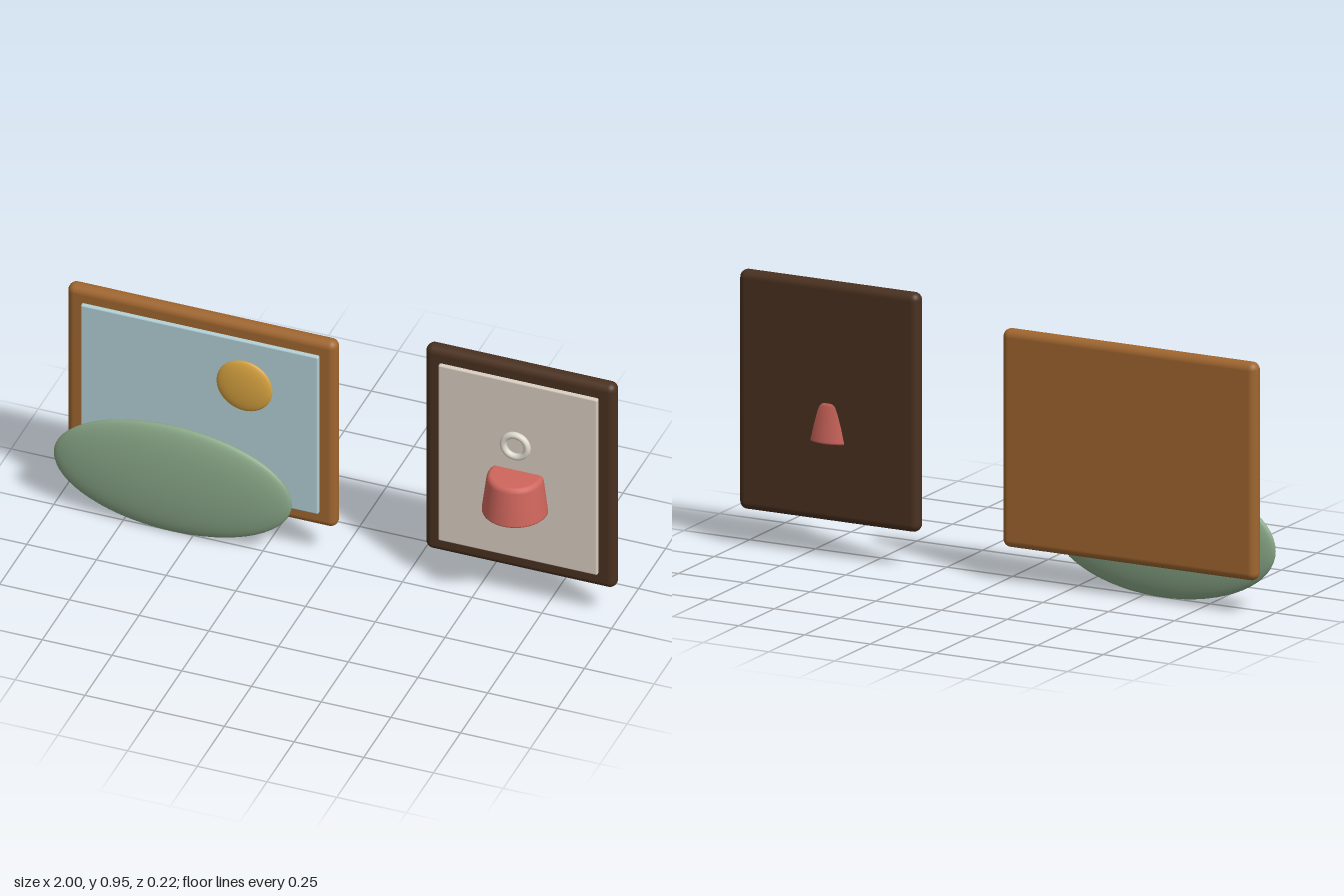
import * as THREE from 'three';
import { RoundedBoxGeometry } from 'three/addons/geometries/RoundedBoxGeometry.js';

const mat = (name, color) => {
  const m = new THREE.MeshStandardMaterial({ color });
  m.name = name;
  return m;
};

export function createModel() {
  const colours = {
    wood: mat('warmWood', 0xa0662f),
    dark: mat('darkWood', 0x4a3120),
    sky: mat('skyBlue', 0xb3d0d6),
    cream: mat('cream', 0xd9cec1),
    green: mat('sageGreen', 0x8aa888),
    gold: mat('gold', 0xd9a441),
    coral: mat('coral', 0xcf665c),
    pale: mat('paleStone', 0xe0dbd0),
  };
  const model = new THREE.Group();
  model.name = 'wallPictures';

  const add = (parent, name, geometry, material, x, y, z) => {
    const mesh = new THREE.Mesh(geometry, material);
    mesh.name = name;
    mesh.position.set(x, y, z);
    parent.add(mesh);
    return mesh;
  };

  // Rounded slab given by its extents
  const slab = (parent, name, material, [x0, x1], [y0, y1], [z0, z1], radius) =>
    add(parent, name, new RoundedBoxGeometry(x1 - x0, y1 - y0, z1 - z0, 5, radius),
      material, (x0 + x1) / 2, (y0 + y1) / 2, (z0 + z1) / 2);

  // Flattened ball
  const ellipsoid = (parent, name, material, x, y, rx, ry, rz) =>
    add(parent, name, new THREE.SphereGeometry(1, 48, 32), material, x, y, 0).scale.set(rx, ry, rz);

  // Landscape picture: frame, sky, hill and sun
  const landscape = new THREE.Group();
  landscape.name = 'landscapePicture';
  slab(landscape, 'landscapeFrame', colours.wood, [-0.97, -0.004], [0.125, 0.88], [-0.092, -0.036], 0.027);
  slab(landscape, 'skyPanel', colours.sky, [-0.913, -0.061], [0.183, 0.824], [-0.05, -0.022], 0.006);
  ellipsoid(landscape, 'hill', colours.green, -0.573, 0.217, 0.427, 0.214, 0.043);
  ellipsoid(landscape, 'sun', colours.gold, -0.316, 0.66, 0.1, 0.1, 0.02);

  // Portrait picture: frame, cream panel, ring and pot
  const still = new THREE.Group();
  still.name = 'stillLifePicture';
  slab(still, 'stillLifeFrame', colours.dark, [0.314, 0.997], [0.13, 0.958], [-0.092, -0.036], 0.027);
  slab(still, 'creamPanel', colours.cream, [0.369, 0.94], [0.188, 0.903], [-0.05, -0.022], 0.006);
  add(still, 'ring', new THREE.TorusGeometry(0.043, 0.012, 16, 48), colours.pale, 0.655, 0.66, 0);

  // Tapered pot with a softened top edge
  const profile = [
    [0, 0], [0.108, 0], [0.112, 0.002], [0.112, 0.007], [0.097, 0.126],
    [0.094, 0.136], [0.088, 0.142], [0.08, 0.144], [0, 0.144],
  ].map(([r, y]) => new THREE.Vector2(r, y));
  add(still, 'pot', new THREE.LatheGeometry(profile, 48), colours.coral, 0.655, 0.402, 0);

  model.add(landscape, still);
  return model;
}
